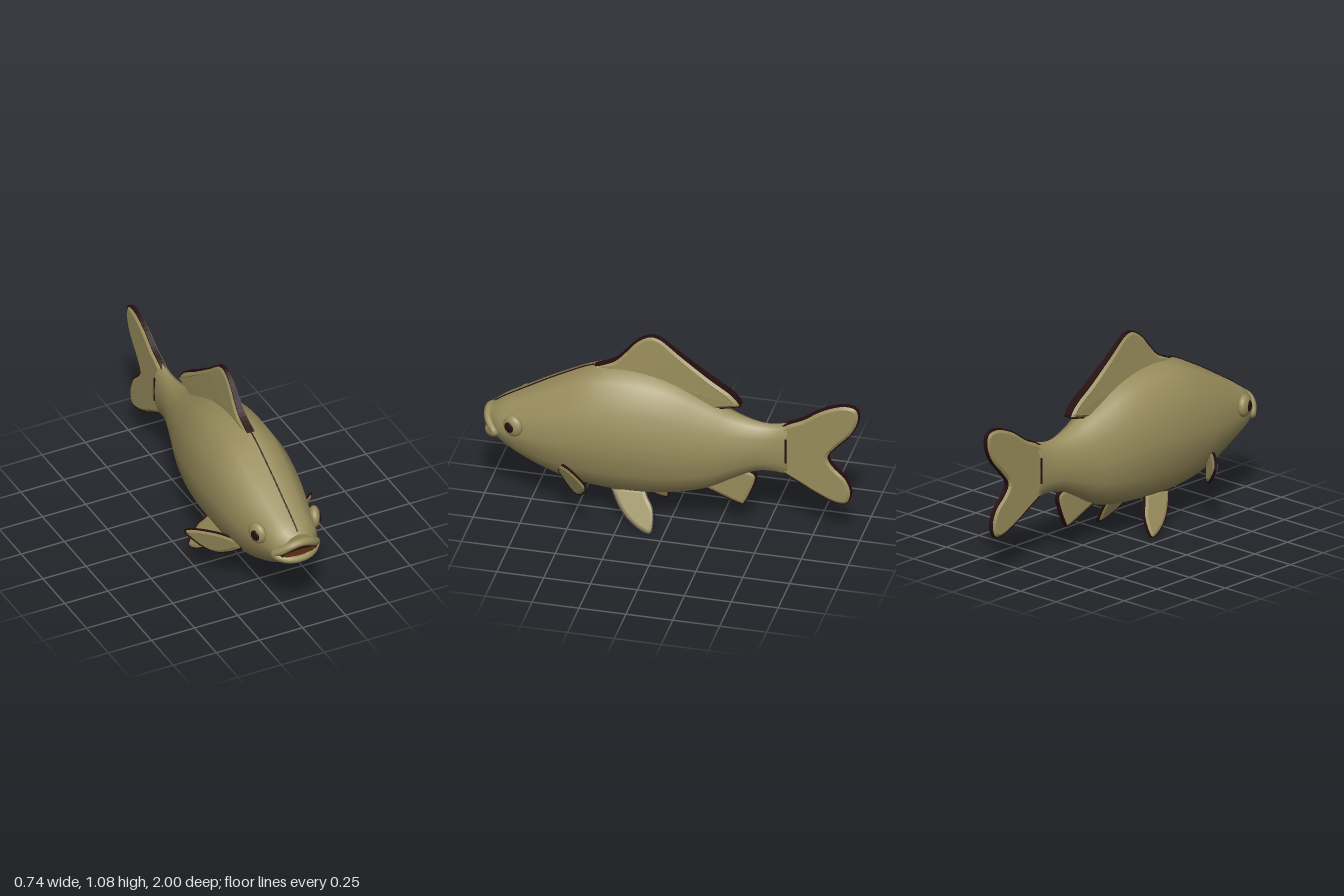
import * as THREE from 'three';

const olive = new THREE.MeshStandardMaterial({ color: 0x998d5c });
olive.name = 'olive skin';
const dark = new THREE.MeshStandardMaterial({ color: 0x260d0f });
dark.name = 'dark edging';
const brown = new THREE.MeshStandardMaterial({ color: 0x5e2f14 });
brown.name = 'mouth brown';

// Body stations: z, top y, bottom y, half width
const STATIONS = [
  [0.955, 0.56, 0.4, 0.09], [0.9, 0.6, 0.36, 0.136], [0.8, 0.66, 0.295, 0.167], [0.6, 0.775, 0.208, 0.212],
  [0.4, 0.868, 0.16, 0.229], [0.2, 0.882, 0.148, 0.226], [0, 0.84, 0.162, 0.199], [-0.2, 0.745, 0.213, 0.15],
  [-0.33, 0.68, 0.285, 0.108], [-0.45, 0.645, 0.345, 0.073], [-0.54, 0.642, 0.355, 0.053], [-0.62, 0.66, 0.345, 0.045],
];
const topLine = new THREE.CatmullRomCurve3(STATIONS.map(([z, t]) => new THREE.Vector3(0, t, z)));
const bottomLine = new THREE.CatmullRomCurve3(STATIONS.map(([z, , b]) => new THREE.Vector3(0, b, z)));
const widthLine = new THREE.CatmullRomCurve3(STATIONS.map(([z, , , w]) => new THREE.Vector3(w, 0, z)));

// Twelve-sided elliptical rings lofted from snout to tail stem
function bodyGeometry() {
  const rings = 44, sides = 12, pos = [], index = [];
  const ring = (t) => {
    const a = topLine.getPoint(t), b = bottomLine.getPoint(t), w = widthLine.getPoint(t).x;
    const mid = (a.y + b.y) / 2, h = (a.y - b.y) / 2;
    for (let j = 0; j < sides; j++) {
      const q = (j / sides) * Math.PI * 2;
      pos.push(w * Math.sin(q), mid + h * Math.cos(q), a.z);
    }
    return [mid, a.z];
  };
  for (let i = 0; i <= rings; i++) ring(i / rings);
  for (let i = 0; i < rings; i++) {
    for (let j = 0; j < sides; j++) {
      const a = i * sides + j, b = i * sides + ((j + 1) % sides);
      index.push(a, b, a + sides, b, b + sides, a + sides);
    }
  }
  // End caps with their own vertices
  for (const t of [0, 1]) {
    const start = pos.length / 3;
    const [mid, z] = ring(t);
    pos.push(0, mid, z);
    for (let j = 0; j < sides; j++) {
      const a = start + j, b = start + ((j + 1) % sides);
      if (t === 0) index.push(start + sides, b, a);
      else index.push(start + sides, a, b);
    }
  }
  const g = new THREE.BufferGeometry();
  g.setAttribute('position', new THREE.Float32BufferAttribute(pos, 3));
  g.setIndex(index);
  g.computeVertexNormals();
  return g;
}

// Fin from a (z, y) outline: a dark slab forms the rim, a thicker bevelled olive web covers its faces.
// warp(x, y, z) returns the new x.
function fin(name, outline, rim, thickness, warp) {
  const curve = new THREE.SplineCurve(outline.map(([z, y]) => new THREE.Vector2(z, y)));
  const shape = new THREE.Shape(curve.getPoints(outline.length * 4));
  const web = { bevelEnabled: true, bevelThickness: (thickness - rim) / 2, bevelSize: 0.014, bevelOffset: -0.021, bevelSegments: 1 };
  const group = new THREE.Group();
  group.name = name;
  for (const [part, options, material] of [['rim', { bevelEnabled: false }, dark], ['web', web, olive]]) {
    const g = new THREE.ExtrudeGeometry(shape, { depth: rim, ...options });
    g.translate(0, 0, -rim / 2);
    g.rotateY(-Math.PI / 2);
    const p = g.attributes.position;
    for (let i = 0; i < p.count; i++) p.setX(i, warp(p.getX(i), p.getY(i), p.getZ(i)));
    g.computeVertexNormals();
    add(group, part, g, material);
  }
  return group;
}

const DORSAL = [[0.41, 0.865], [0.31, 0.91], [0.25, 0.97], [0.19, 1.04], [0.12, 1.082], [0.06, 1.073], [0, 1.03],
  [-0.05, 0.99], [-0.2, 0.88], [-0.32, 0.8], [-0.37, 0.738], [-0.34, 0.72], [-0.27, 0.705], [-0.2, 0.7], [0, 0.79], [0.2, 0.84]];
const TAIL = [[-0.56, 0.62], [-0.62, 0.662], [-0.7, 0.7], [-0.8, 0.768], [-0.91, 0.81], [-0.985, 0.798], [-0.998, 0.73],
  [-0.96, 0.64], [-0.88, 0.55], [-0.838, 0.49], [-0.865, 0.435], [-0.93, 0.37], [-0.958, 0.29], [-0.935, 0.22],
  [-0.87, 0.215], [-0.77, 0.258], [-0.68, 0.31], [-0.62, 0.343], [-0.56, 0.38]];
const ANAL = [[-0.13, 0.25], [-0.17, 0.215], [-0.24, 0.185], [-0.36, 0.14], [-0.395, 0.155], [-0.45, 0.295], [-0.43, 0.338],
  [-0.38, 0.345], [-0.33, 0.33], [-0.25, 0.3]];
const PELVIC = [[0.3, 0.19], [0.25, 0.11], [0.19, 0.05], [0.12, 0.01], [0.07, 0.002], [0.058, 0.05], [0.068, 0.12], [0.1, 0.17], [0.12, 0.21]];
const PECTORAL = [[0.575, 0.335], [0.5, 0.363], [0.4, 0.36], [0.37, 0.325], [0.41, 0.245], [0.46, 0.212], [0.52, 0.232], [0.575, 0.275]];

function add(parent, name, geometry, material) {
  const m = new THREE.Mesh(geometry, material);
  m.name = name;
  parent.add(m);
  return m;
}

export function createModel() {
  const fish = new THREE.Group();
  fish.name = 'fish';
  add(fish, 'body', bodyGeometry(), olive);

  // Fine dark seams along the brow and the belly
  const seam = (name, line, from, to) => {
    const pts = [];
    for (let i = 0; i <= 14; i++) pts.push(line.getPoint(from + ((to - from) * i) / 14));
    add(fish, name, new THREE.TubeGeometry(new THREE.CatmullRomCurve3(pts), 40, 0.004, 6), dark);
  };
  seam('browSeam', topLine, 0.02, 0.36);
  seam('bellySeam', bottomLine, 0.02, 0.45);

  // Median fins
  fish.add(fin('dorsalFin', DORSAL, 0.038, 0.06, (x, y) => x * THREE.MathUtils.clamp(1.1 - (y - 0.85) * 2.3, 0.55, 1.1)));
  fish.add(fin('tailFin', TAIL, 0.026, 0.05, (x, y, z) => x * THREE.MathUtils.clamp(1.1 + (z + 0.6) * 0.9, 0.7, 1.1)));
  fish.add(fin('analFin', ANAL, 0.024, 0.036, (x) => x));

  // Paired fins and eyes
  for (const s of [1, -1]) {
    const side = s > 0 ? 'left' : 'right';
    fish.add(fin(side + 'PelvicFin', PELVIC, 0.013, 0.026, (x, y) => x + s * (0.1 + (0.185 - y) * 0.48)));
    fish.add(fin(side + 'PectoralFin', PECTORAL, 0.016, 0.036,
      (x, y, z) => x + s * (0.155 + (0.57 - z) * 1.05 + (y - 0.34) * 0.35)));

    const eye = new THREE.Group();
    eye.name = side + 'Eye';
    const ball = add(eye, 'eyeball', new THREE.SphereGeometry(1, 24, 16), olive);
    ball.scale.set(0.032, 0.06, 0.056);
    const pupil = add(eye, 'pupil', new THREE.SphereGeometry(1, 18, 12), dark);
    pupil.scale.set(0.011, 0.031, 0.029);
    pupil.position.set(s * 0.025, 0, 0.006);
    eye.position.set(s * 0.164, 0.53, 0.808);
    eye.rotation.y = -s * 0.35;
    fish.add(eye);

    const joint = add(fish, side + 'TailJoint', new THREE.BoxGeometry(0.006, 0.14, 0.01), dark);
    joint.position.set(s * 0.044, 0.51, -0.615);
  }

  // Lips: closed loop around the mouth
  const half = [[0, 0.522, 0.974], [0.05, 0.511, 0.968], [0.09, 0.484, 0.948], [0.12, 0.452, 0.915],
    [0.09, 0.432, 0.942], [0.05, 0.424, 0.962], [0, 0.421, 0.968]];
  const loop = [...half, ...half.slice(1, -1).reverse().map(([x, y, z]) => [-x, y, z])];
  const lipCurve = new THREE.CatmullRomCurve3(loop.map((p) => new THREE.Vector3(...p)), true);
  add(fish, 'lips', new THREE.TubeGeometry(lipCurve, 72, 0.023, 10, true), olive);

  // Mouth opening, bowed back at the corners
  const mouthPlate = (name, w, h, y, z, mat) => {
    const g = new THREE.CircleGeometry(1, 28);
    g.scale(w, h, 1);
    const p = g.attributes.position;
    for (let i = 0; i < p.count; i++) p.setZ(i, -1.3 * p.getX(i) ** 2);
    g.computeVertexNormals();
    add(fish, name, g, mat).position.set(0, y, z);
  };
  mouthPlate('mouthOpening', 0.112, 0.045, 0.47, 0.97, dark);
  mouthPlate('tongue', 0.092, 0.022, 0.457, 0.974, brown);
  return fish;
}
